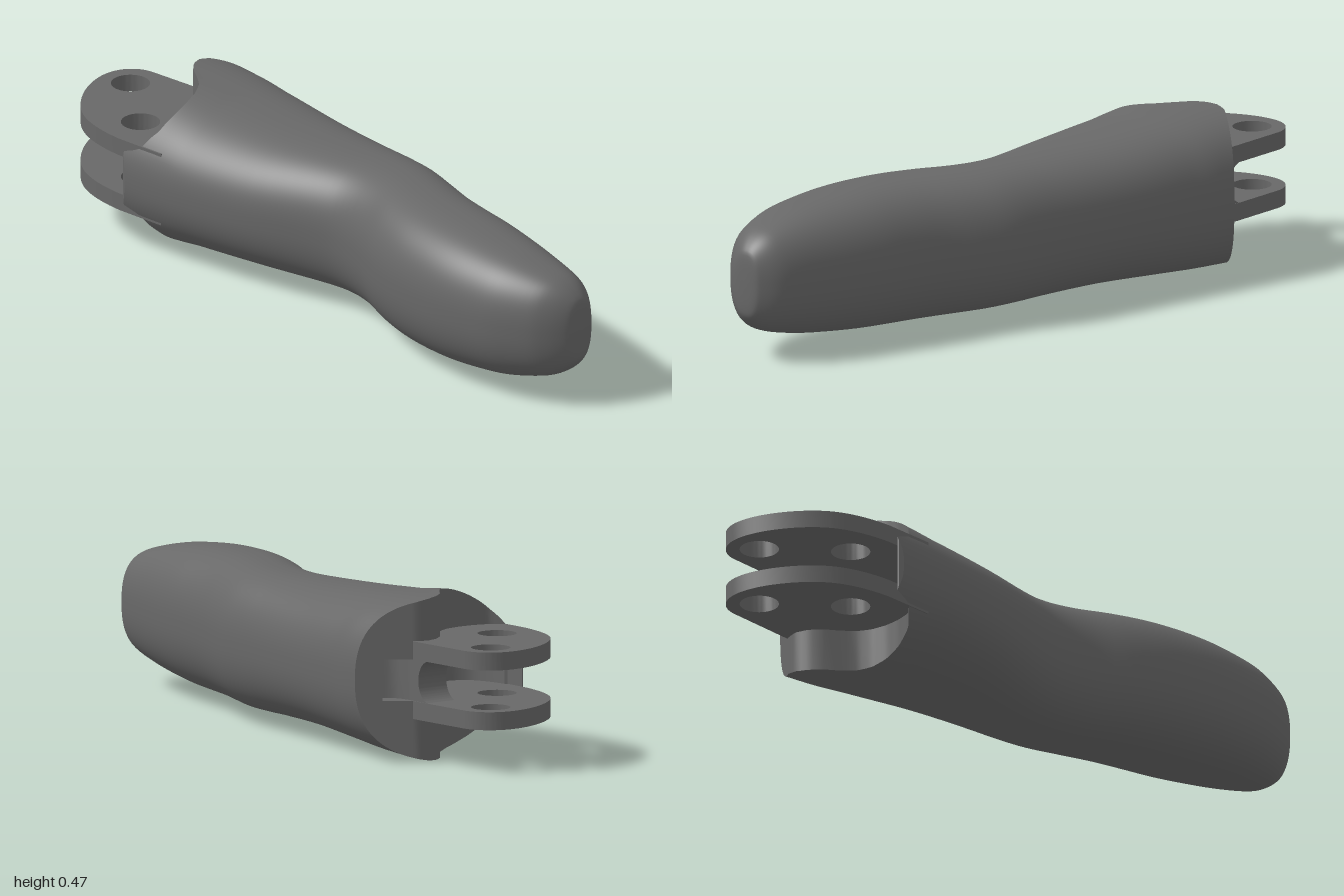
import * as THREE from 'three';
import { toCreasedNormals } from 'three/addons/utils/BufferGeometryUtils.js';

const MID = 0.239; // height of the grip's centre line
const SIDES = 128;
const REAR = -0.45; // rear of this the rings bend into the shaped end

// Grip stations: z, right edge x, left edge x, half height
const STATIONS = [
  [1, -0.118, -0.118, 0], [0.997, -0.155, -0.085, 0.075], [0.985, -0.184, -0.065, 0.106],
  [0.95, -0.224, -0.034, 0.138], [0.9, -0.258, -0.012, 0.159], [0.8, -0.294, 0.017, 0.182],
  [0.7, -0.306, 0.045, 0.195], [0.6, -0.307, 0.07, 0.204], [0.5, -0.296, 0.09, 0.208],
  [0.4, -0.275, 0.115, 0.209], [0.3, -0.24, 0.152, 0.208], [0.2, -0.192, 0.186, 0.206],
  [0.1, -0.166, 0.204, 0.204], [0, -0.174, 0.219, 0.203], [-0.2, -0.22, 0.25, 0.207],
  [-0.4, -0.244, 0.28, 0.219], [-0.55, -0.25, 0.298, 0.229], [-0.7, -0.25, 0.306, 0.237],
];

// Scooped outline of the grip's rear end: x, z
const END = [
  [-0.25, -0.64], [-0.238, -0.658], [-0.23, -0.6], [-0.19, -0.563], [-0.14, -0.551], [-0.09, -0.549],
  [-0.04, -0.558], [0, -0.58], [0.03, -0.615], [0.06, -0.658], [0.09, -0.683],
  [0.13, -0.696], [0.165, -0.688], [0.306, -0.58],
];

function endZ(x) {
  if (x <= END[0][0]) return END[0][1];
  for (let i = 1; i < END.length; i++) {
    const [x0, z0] = END[i - 1], [x1, z1] = END[i];
    if (x <= x1) return z0 + (z1 - z0) * (x - x0) / (x1 - x0);
  }
  return END[END.length - 1][1];
}

// Rounded pockets cut into the end between the lugs
function pocketDepth(x) {
  const pocket = (centre, half, depth) =>
    depth * Math.sqrt(Math.max(0, 1 - ((x - centre) / half) ** 4));
  return pocket(-0.085, 0.135, 0.1) + pocket(0.205, 0.035, 0.07);
}

function makeRings() {
  const edges = new THREE.CatmullRomCurve3(
    STATIONS.map(([z, a, b]) => new THREE.Vector3(a, b, z)), false, 'catmullrom', 0.5);
  const heights = new THREE.CatmullRomCurve3(
    STATIONS.map(s => new THREE.Vector3(s[3], 0, 0)), false, 'catmullrom', 0.5);
  const count = (STATIONS.length - 1) * 4;
  const rings = [];
  const power = v => Math.sign(v) * Math.abs(v) ** (2 / 2.4);
  for (let i = 0; i <= count; i++) {
    const e = edges.getPoint(i / count), h = heights.getPoint(i / count).x;
    const lean = 0.03 * THREE.MathUtils.smoothstep(-e.z, -0.1, 0.6); // crown sits off centre at the rear
    const ring = [];
    for (let j = 0; j <= SIDES; j++) {
      const a = (j / SIDES) * Math.PI * 2;
      const x = (e.x + e.y) / 2 + (e.y - e.x) / 2 * power(Math.cos(a)) + lean * Math.sin(a) ** 2;
      let z = e.z;
      if (z < REAR) z = REAR + (endZ(x) - REAR) * (REAR - z) / (REAR + 0.7);
      ring.push([x, MID + h * power(Math.sin(a)), z]);
    }
    rings.push(ring);
  }
  return rings;
}

function gripGeometry(rings) {
  const index = [], row = SIDES + 1;
  for (let i = 0; i < rings.length - 1; i++) {
    for (let j = 0; j < SIDES; j++) {
      const a = i * row + j, c = a + row;
      index.push(a, c, a + 1, a + 1, c, c + 1);
    }
  }
  const geo = new THREE.BufferGeometry();
  geo.setAttribute('position', new THREE.Float32BufferAttribute(rings.flat(2), 3));
  geo.setIndex(index);
  geo.computeVertexNormals();
  // Share the normal where each ring closes, and across the tip
  const n = geo.attributes.normal;
  for (let i = 0; i < rings.length; i++) {
    const a = i * row, b = a + SIDES;
    const v = new THREE.Vector3().fromBufferAttribute(n, a)
      .add(new THREE.Vector3().fromBufferAttribute(n, b)).normalize();
    n.setXYZ(a, v.x, v.y, v.z);
    n.setXYZ(b, v.x, v.y, v.z);
  }
  for (let j = 0; j <= SIDES; j++) n.setXYZ(j, 0, 0, 1);
  return geo;
}

// Rear wall made of upright strips, stepped inwards at the pockets
function endGeometry(ring) {
  const pos = [];
  const column = (j) => {
    const [x, top, z] = ring[j], bottom = ring[SIDES - j][1];
    const hi = Math.min(0.3, top), lo = Math.max(0.18, bottom), inner = z + pocketDepth(x);
    return [[x, top, z], [x, hi, z], [x, hi, inner], [x, lo, inner], [x, lo, z], [x, bottom, z]];
  };
  for (let j = 0; j < SIDES / 2; j++) {
    const a = column(j), b = column(j + 1);
    for (let k = 0; k < 5; k++) {
      pos.push(...a[k], ...a[k + 1], ...b[k + 1], ...a[k], ...b[k + 1], ...b[k]);
    }
  }
  const geo = new THREE.BufferGeometry();
  geo.setAttribute('position', new THREE.Float32BufferAttribute(pos, 3));
  return toCreasedNormals(geo, 0.6);
}

// Flat lug with two bolt holes, drawn with its length pointing backwards
function lugGeometry(thickness) {
  const s = new THREE.Shape();
  s.moveTo(-0.228, 0.52);
  s.lineTo(0.175, 0.52);
  s.lineTo(0.175, 0.7);
  s.lineTo(0.166, 0.9);
  s.bezierCurveTo(0.166, 0.96, 0.12, 1, 0.06, 1);
  s.bezierCurveTo(-0.03, 1, -0.13, 0.93, -0.17, 0.875);
  s.bezierCurveTo(-0.205, 0.83, -0.225, 0.76, -0.23, 0.68);
  s.closePath();
  for (const [x, y] of [[-0.105, 0.71], [0.068, 0.905]]) {
    s.holes.push(new THREE.Path().absarc(x, y, 0.056, 0, Math.PI * 2, true));
  }
  const geo = new THREE.ExtrudeGeometry(s, { depth: thickness, bevelEnabled: false, curveSegments: 24 });
  geo.rotateX(-Math.PI / 2);
  return toCreasedNormals(geo, 0.6);
}

// Web between the lugs with a hollow rounded rear, drawn as (rearward, height)
function webGeometry() {
  const s = new THREE.Shape();
  s.moveTo(0.66, 0.178);
  s.lineTo(0.755, 0.178);
  s.absellipse(0.755, 0.24, 0.053, 0.062, -Math.PI / 2, -Math.PI * 1.5, true);
  s.lineTo(0.66, 0.302);
  s.closePath();
  const geo = new THREE.ExtrudeGeometry(s, { depth: 0.1, bevelEnabled: false, curveSegments: 24 });
  geo.rotateY(Math.PI / 2);
  return toCreasedNormals(geo, 0.6);
}

export function createModel() {
  const group = new THREE.Group();
  const grey = new THREE.MeshStandardMaterial({ color: 0x686868 });
  const greyDouble = new THREE.MeshStandardMaterial({ color: 0x686868, side: THREE.DoubleSide });
  const add = (name, geo, mat, x = 0, y = 0) => {
    const mesh = new THREE.Mesh(geo, mat);
    mesh.name = name;
    mesh.position.set(x, y, 0);
    group.add(mesh);
  };

  const rings = makeRings();
  add('grip', gripGeometry(rings), grey);
  add('gripEnd', endGeometry(rings[rings.length - 1]), greyDouble);

  // Pair of mounting lugs joined by the web
  const lug = lugGeometry(0.052);
  add('lowerLug', lug, grey, 0, 0.128);
  add('upperLug', lug, grey, 0, 0.3);
  add('lugWeb', webGeometry(), grey, 0.072, 0);
  return group;
}
